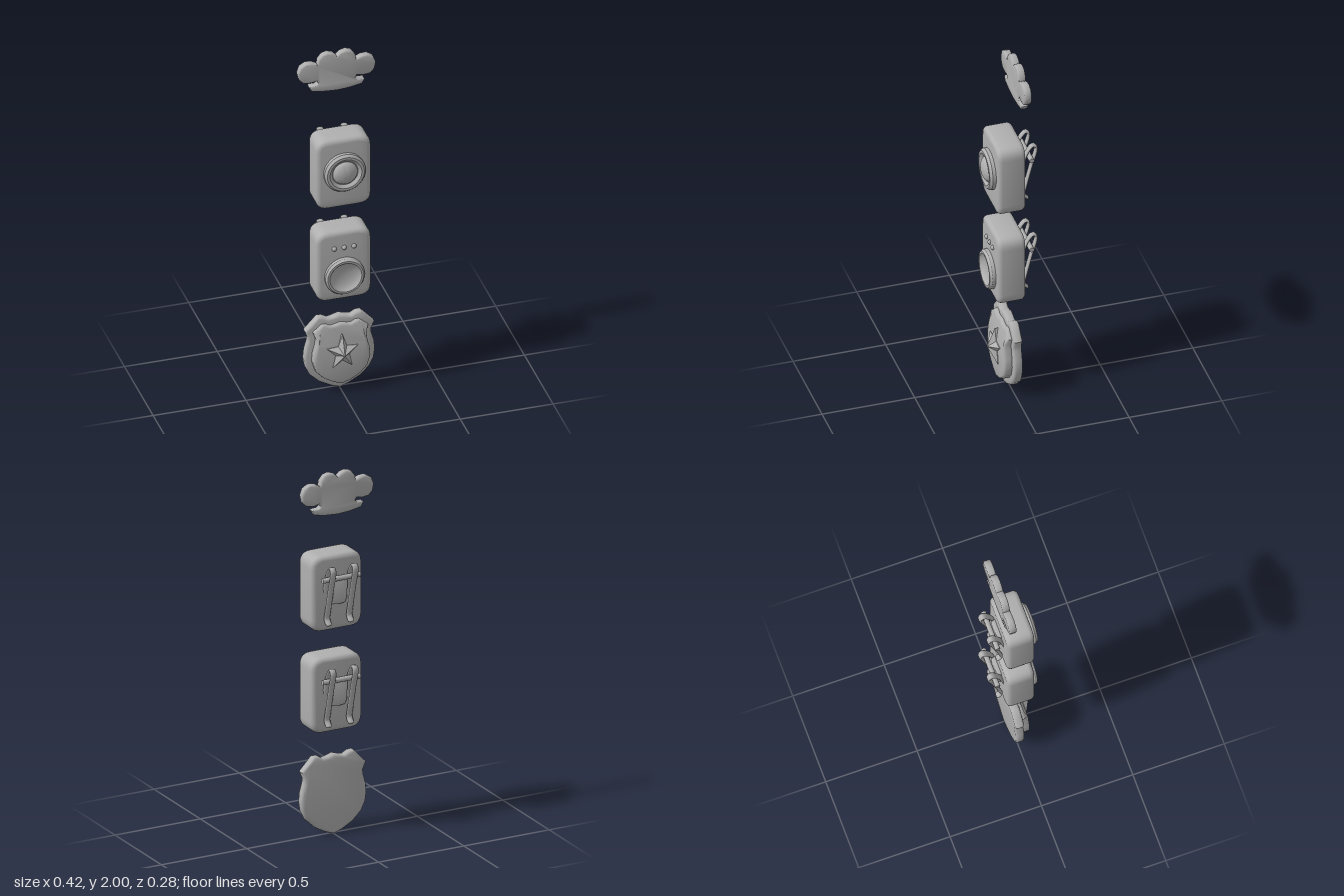
import * as THREE from 'three';
import { toCreasedNormals } from 'three/addons/utils/BufferGeometryUtils.js';

const metal = new THREE.MeshStandardMaterial({ color: 0xb0b0b0 });
metal.name = 'plain grey';

function add(parent, name, geometry) {
  const mesh = new THREE.Mesh(geometry, metal);
  mesh.name = name;
  parent.add(mesh);
  return mesh;
}

// Closed outline from its right half, listed from bottom centre to top centre
function mirrored(half) {
  const left = half.slice(1, -1).reverse().map(([x, y]) => [-x, y]);
  return new THREE.Shape([...half, ...left].map(([x, y]) => new THREE.Vector2(x, y)));
}

// Bevelled slab between two z values
function slab(shape, z0, z1, bevel, segments = 2) {
  return new THREE.ExtrudeGeometry(shape, {
    depth: z1 - z0 - 2 * bevel, bevelEnabled: true, bevelThickness: bevel, bevelSize: bevel,
    bevelOffset: -bevel, bevelSegments: segments, curveSegments: 6,
  }).translate(0, 0, z0 + bevel);
}
const smooth = (g, angle = 0.9) => toCreasedNormals(g, angle);

// Disc-like part turned about the z axis; profile is [radius, z] from the back rim to the front centre
function turned(profile, y) {
  const g = new THREE.LatheGeometry(profile.map(([r, z]) => new THREE.Vector2(r, z)), 32);
  return smooth(g.rotateX(Math.PI / 2).translate(0, y, 0), 0.6);
}

function roundedRect(w, h, r) {
  const s = new THREE.Shape();
  s.moveTo(-w + r, -h);
  s.lineTo(w - r, -h); s.quadraticCurveTo(w, -h, w, -h + r);
  s.lineTo(w, h - r); s.quadraticCurveTo(w, h, w - r, h);
  s.lineTo(-w + r, h); s.quadraticCurveTo(-w, h, -w, h - r);
  s.lineTo(-w, -h + r); s.quadraticCurveTo(-w, -h, -w + r, -h);
  return s;
}

// Belt clip: two bent straps, a hinge pin and a tab; heights measured from the body centre
function clip() {
  const group = new THREE.Group();
  group.name = 'beltClip';
  const path = new THREE.CatmullRomCurve3([
    [0, -0.05], [0.08, -0.067], [0.14, -0.095], [0.161, -0.118], [0.145, -0.133],
    [0.04, -0.107], [-0.08, -0.077], [-0.135, -0.066], [-0.16, -0.085],
  ].map(([y, z]) => new THREE.Vector3(0, y, z)));
  for (const x of [-0.065, 0.065]) {
    add(group, 'strap', new THREE.TubeGeometry(path, 40, 0.008, 8).scale(2.25, 1, 1).translate(x, 0, 0));
    add(group, 'strapEnd', new THREE.SphereGeometry(0.008, 10, 8).scale(2.25, 1, 1).translate(x, -0.16, -0.085));
  }
  const pin = new THREE.CylinderGeometry(0.014, 0.014, 0.22, 10).rotateZ(Math.PI / 2);
  add(group, 'hingePin', pin.translate(0, 0.092, -0.098));
  const tab = mirrored([[0, -0.06], [0.035, -0.055], [0.045, -0.03], [0.052, 0.09], [0, 0.09]]);
  add(group, 'hingeTab', smooth(slab(tab, -0.08, -0.05, 0.006)));
  return group;
}

// Handheld unit body with clip
function device(name, y) {
  const group = new THREE.Group();
  group.name = name;
  group.position.y = y;
  add(group, 'body', smooth(slab(roundedRect(0.148, 0.205, 0.065), -0.056, 0.094, 0.024, 3)));
  group.add(clip());
  return group;
}

function cameraUnit() {
  const group = device('cameraUnit', 1.339);
  add(group, 'lensRing', turned([[0.111, 0.085], [0.111, 0.112], [0.1, 0.126], [0.086, 0.126],
    [0.07, 0.112], [0, 0.112]], 0.013));
  const dome = [];
  for (let i = 0; i <= 8; i++) {
    const a = (i / 8) * Math.PI / 2;
    dome.push([Math.cos(a) * 0.067, 0.108 + Math.sin(a) * 0.033]);
  }
  add(group, 'lensDome', turned(dome, 0.013));
  return group;
}

function speakerUnit() {
  const group = device('speakerUnit', 0.781);
  add(group, 'speakerDish', turned([[0.106, 0.085], [0.106, 0.112], [0.097, 0.125], [0.086, 0.125],
    [0.076, 0.114], [0.055, 0.104], [0.03, 0.099], [0, 0.097]], -0.056));
  for (const x of [-0.053, 0, 0.053]) {
    add(group, 'button', new THREE.SphereGeometry(0.013, 14, 10).translate(x, 0.11, 0.094));
  }
  return group;
}

function badge() {
  const group = new THREE.Group();
  group.name = 'shieldBadge';
  const rim = mirrored([[0, 0], [0.05, 0.018], [0.11, 0.052], [0.16, 0.1], [0.184, 0.15], [0.191, 0.2],
    [0.186, 0.25], [0.172, 0.3], [0.17, 0.325], [0.187, 0.365], [0.15, 0.405], [0.117, 0.44],
    [0.09, 0.438], [0.062, 0.422], [0.035, 0.427], [0, 0.438]]);
  add(group, 'rimPlate', smooth(slab(rim, -0.026, 0.022, 0.012)));

  // Inner panel, its upper edge sloping back
  const panel = mirrored([[0, 0.045], [0.05, 0.062], [0.1, 0.093], [0.138, 0.135], [0.154, 0.19],
    [0.15, 0.24], [0.137, 0.29], [0.135, 0.325], [0.148, 0.362], [0.12, 0.385], [0.1, 0.402],
    [0.08, 0.401], [0.055, 0.388], [0.03, 0.392], [0, 0.4]]);
  const g = slab(panel, 0, 0.065, 0.014);
  const p = g.attributes.position;
  for (let i = 0; i < p.count; i++) {
    if (p.getZ(i) > 0.03) {
      p.setZ(i, p.getZ(i) - 0.022 * THREE.MathUtils.smoothstep(p.getY(i), 0.3, 0.38));
    }
  }
  add(group, 'innerPanel', smooth(g));

  // Faceted star with a raised centre and short side walls
  const pos = [], cy = 0.24;
  const point = (i, z) => {
    const r = i % 2 ? 0.043 : 0.098, a = Math.PI / 2 + (i * Math.PI) / 5;
    return [Math.cos(a) * r * 0.9, cy + Math.sin(a) * r * 1.08, z];
  };
  for (let i = 0; i < 10; i++) {
    const a = point(i, 0.068), b = point(i + 1, 0.068), c = point(i, 0.03), d = point(i + 1, 0.03);
    pos.push(...a, ...b, 0, cy, 0.11, ...c, ...d, ...b, ...c, ...b, ...a);
  }
  const star = new THREE.BufferGeometry();
  star.setAttribute('position', new THREE.Float32BufferAttribute(pos, 3));
  star.computeVertexNormals();
  add(group, 'star', star);
  return group;
}

// Four-lobed grip plate with a curved palm bar
function knucklePlate() {
  const outline = mirrored([[0, 1.768], [0.07, 1.773], [0.135, 1.785], [0.15, 1.81], [0.145, 1.816],
    [0.112, 1.817], [0.1, 1.828], [0.108, 1.842], [0.14, 1.835], [0.18, 1.84], [0.203, 1.865],
    [0.21, 1.9], [0.197, 1.936], [0.165, 1.955], [0.13, 1.952], [0.104, 1.938], [0.1, 1.965],
    [0.078, 1.992], [0.05, 2], [0.02, 1.992], [0, 1.972]]);
  return slab(outline, -0.068, -0.028, 0.008);
}

export function createModel() {
  const model = new THREE.Group();
  model.name = 'equipmentSet';
  model.add(badge(), speakerUnit(), cameraUnit());
  add(model, 'knucklePlate', smooth(knucklePlate()));
  return model;
}
